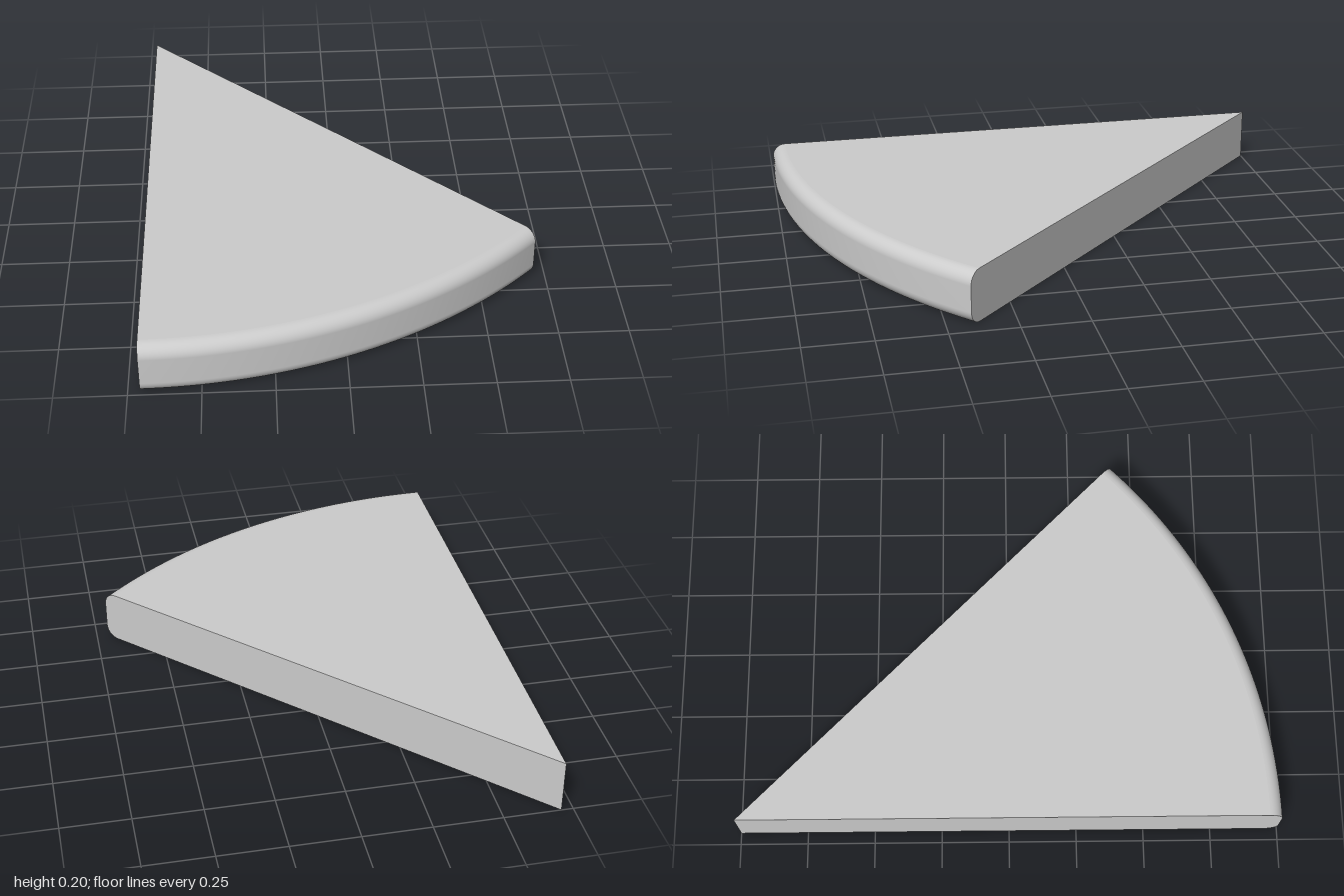
import * as THREE from 'three';

const RADIUS = 2, HEIGHT = 0.2, FILLET = 0.05, ANGLE = Math.PI / 4, SEGMENTS = 48;

// Rounded rim profile as (radius, height), bottom to top
function rimProfile() {
  const points = [];
  const steps = 10;
  for (const [from, cy] of [[-Math.PI / 2, FILLET], [0, HEIGHT - FILLET]]) {
    for (let i = 0; i <= steps; i++) {
      const a = from + (i / steps) * Math.PI / 2;
      points.push(new THREE.Vector2(RADIUS - FILLET + FILLET * Math.cos(a), cy + FILLET * Math.sin(a)));
    }
  }
  return points;
}

export function createModel() {
  const group = new THREE.Group();
  group.name = 'roundedWedge';
  const material = new THREE.MeshStandardMaterial({ color: 0xcccccc });
  const profile = rimProfile();

  const add = (name, geometry) => {
    const mesh = new THREE.Mesh(geometry, material);
    mesh.name = name;
    group.add(mesh);
    return mesh;
  };

  // Curved outer edge
  add('roundedRim', new THREE.LatheGeometry(profile, SEGMENTS, 0, ANGLE));

  // Flat top and bottom sectors
  const flat = RADIUS - FILLET;
  add('topFace', new THREE.CircleGeometry(flat, SEGMENTS, -Math.PI / 2, ANGLE)
    .rotateX(-Math.PI / 2).translate(0, HEIGHT, 0));
  add('bottomFace', new THREE.CircleGeometry(flat, SEGMENTS, Math.PI / 2 - ANGLE, ANGLE)
    .rotateX(Math.PI / 2));

  // Straight cut sides, following the rim profile at their outer ends
  const cutSide = (sign) => new THREE.ShapeGeometry(new THREE.Shape([
    new THREE.Vector2(0, 0),
    ...profile.map((p) => new THREE.Vector2(sign * p.x, p.y)),
    new THREE.Vector2(0, HEIGHT),
  ]));
  add('rightCutSide', cutSide(1).rotateY(-Math.PI / 2));
  add('leftCutSide', cutSide(-1).rotateY(Math.PI / 2 + ANGLE));

  // Centre the wedge, with its tip at the back
  group.position.set(-RADIUS * Math.sin(ANGLE) / 2, 0, -RADIUS / 2);
  return group;
}
